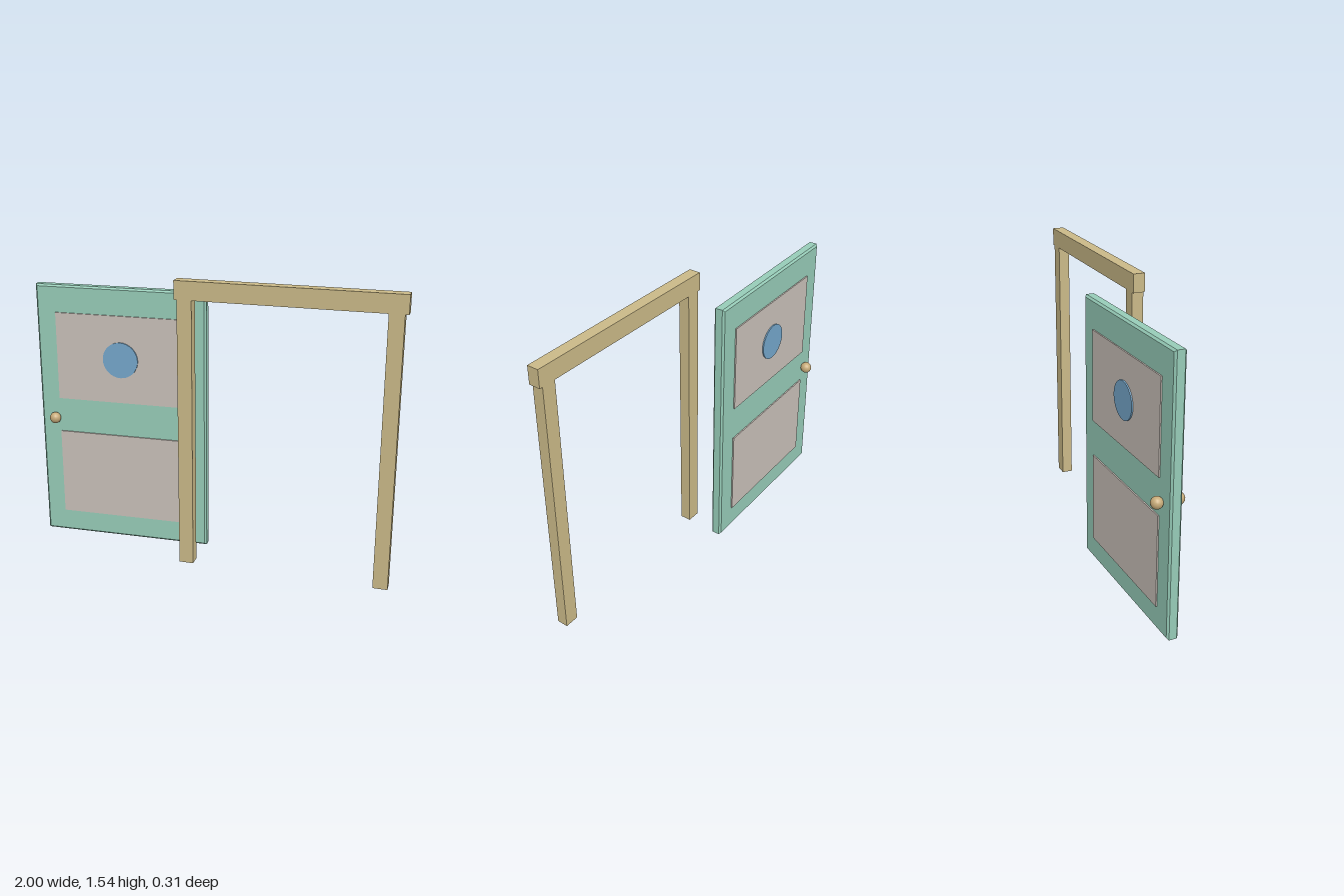
import * as THREE from 'three';

const mat = (name, color) => {
  const m = new THREE.MeshStandardMaterial({ color });
  m.name = name;
  return m;
};

export function createModel() {
  const green = mat('door green', 0x96cbb7);
  const grey = mat('panel grey', 0xc8bfb8);
  const blue = mat('window blue', 0x74a6ca);
  const wood = mat('frame tan', 0xc9b887);
  const brass = mat('knob brass', 0xc6aa78);

  const model = new THREE.Group();
  model.name = 'doorAndFrame';
  const add = (parent, name, geometry, material, x, y, z) => {
    const mesh = new THREE.Mesh(geometry, material);
    mesh.name = name;
    mesh.position.set(x, y, z);
    parent.add(mesh);
    return mesh;
  };

  // Frame: two posts under a slightly wider lintel
  const frame = new THREE.Group();
  frame.name = 'frame';
  model.add(frame);
  for (const [name, x] of [['rightPost', -0.102], ['leftPost', 0.942]])
    add(frame, name, new THREE.BoxGeometry(0.077, 1.445, 0.06), wood, x, 0.7225, 0.122);
  add(frame, 'lintel', new THREE.BoxGeometry(1.154, 0.097, 0.062), wood, 0.422, 1.4925, 0.122);

  // Door: stands beside the frame, turned by two degrees
  const door = new THREE.Group();
  door.name = 'door';
  door.position.set(-0.527, 0, -0.082);
  door.rotation.y = THREE.MathUtils.degToRad(2);
  model.add(door);

  // Slab with chamfered edges
  const w = 0.943, h = 1.432, depth = 0.06, c = 0.01;
  const outline = new THREE.Shape();
  outline.moveTo(-w / 2 + c, -h / 2 + c);
  outline.lineTo(w / 2 - c, -h / 2 + c);
  outline.lineTo(w / 2 - c, h / 2 - c);
  outline.lineTo(-w / 2 + c, h / 2 - c);
  outline.closePath();
  const slab = new THREE.ExtrudeGeometry(outline, {
    depth: depth - 2 * c, bevelThickness: c, bevelSize: c, bevelSegments: 1,
  });
  slab.translate(0, 0, -depth / 2 + c);
  add(door, 'slab', slab, green, 0, 0.721, 0);

  // Raised panels, window and knobs on both faces
  for (const [face, s] of [['front', 1], ['back', -1]]) {
    for (const [name, y] of [['LowerPanel', 0.372], ['UpperPanel', 1.047]])
      add(door, face + name, new THREE.BoxGeometry(0.725, 0.483, 0.009), grey, 0, y, s * 0.0325);
    const disc = new THREE.CylinderGeometry(0.098, 0.098, 0.009, 32).rotateX(Math.PI / 2);
    add(door, face + 'Window', disc, blue, 0, 1.047, s * 0.0395);
    add(door, face + 'Knob', new THREE.SphereGeometry(0.031, 16, 12), brass, -0.385, 0.695, s * 0.055);
  }

  return model;
}
